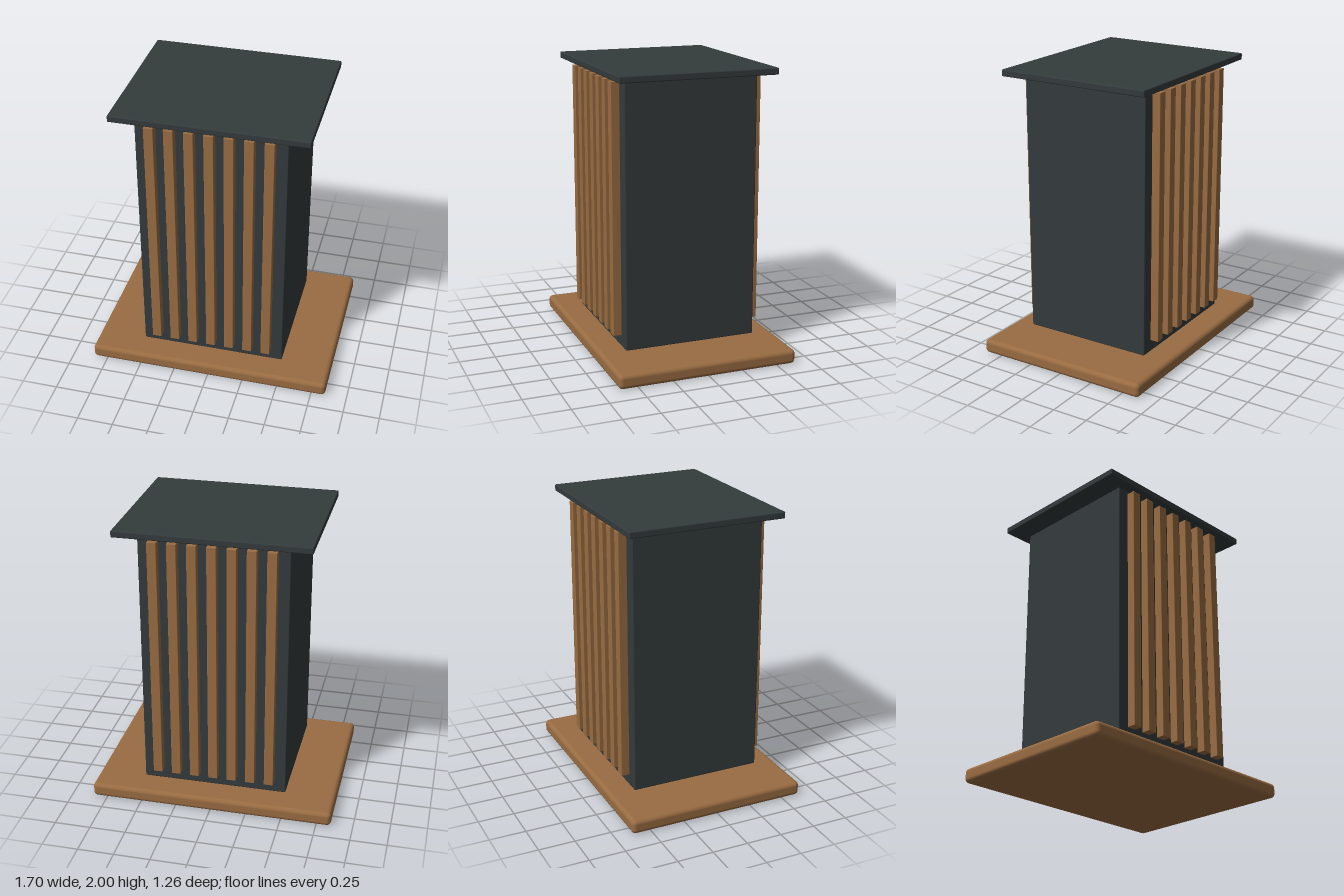
import * as THREE from 'three';
import { RoundedBoxGeometry } from 'three/addons/geometries/RoundedBoxGeometry.js';

export function createModel() {
  const group = new THREE.Group();
  const wood = new THREE.MeshStandardMaterial({ name: 'wood', color: 0x996c42 });
  const slate = new THREE.MeshStandardMaterial({ name: 'darkSlate', color: 0x343b3c });

  // Rounded block given by its size, bottom height and depth position
  function block(name, material, [w, h, d], radius, x, bottom, z) {
    const mesh = new THREE.Mesh(new RoundedBoxGeometry(w, h, d, 4, radius), material);
    mesh.name = name;
    mesh.position.set(x, bottom + h / 2, z);
    group.add(mesh);
  }

  block('base', wood, [1.7, 0.1, 1.265], 0.03, 0, 0, 0);
  block('body', slate, [1.01, 1.84, 0.934], 0.008, 0, 0.12, 0);
  block('roof', slate, [1.314, 0.046, 1.1], 0.008, 0, 1.954, 0);

  // Seven upright slats on the front and on the back
  for (const side of [1, -1]) {
    for (let i = -3; i <= 3; i++) {
      const name = (side > 0 ? 'frontSlat' : 'backSlat') + (i + 4);
      block(name, wood, [0.064, 1.727, 0.059], 0.003, i * 0.1315, 0.207, side * 0.4995);
    }
  }
  return group;
}
